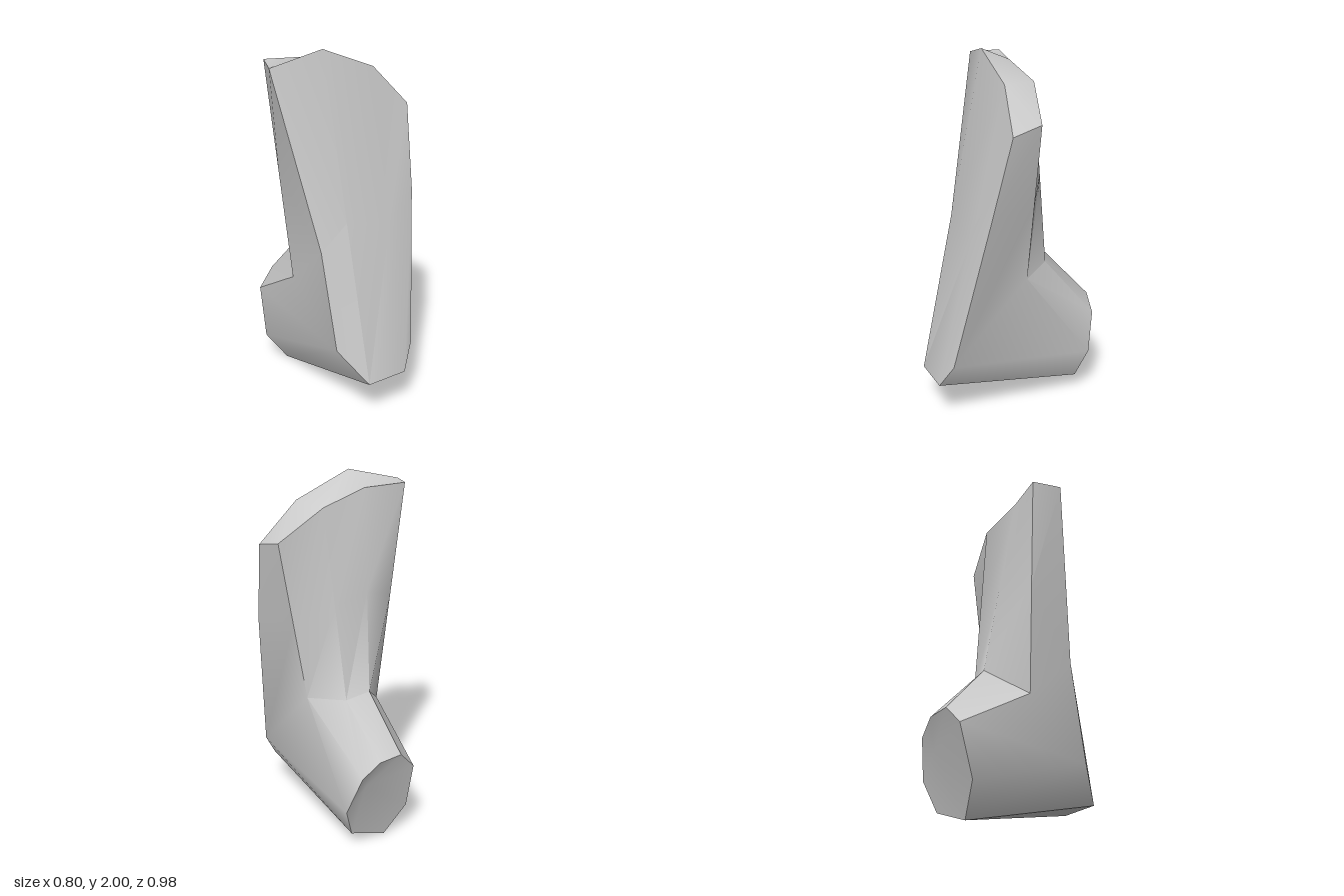
import * as THREE from 'three';
import { toCreasedNormals } from 'three/addons/utils/BufferGeometryUtils.js';

// Eight-sided cross-sections, in matching order, swept from the heel through the bend to the top
const heel = [
  [-0.08, 0, -0.35], [0.15, 0.085, -0.37], [0.215, 0.26, -0.42], [0.15, 0.47, -0.475],
  [0.05, 0.55, -0.49], [-0.09, 0.56, -0.485], [-0.19, 0.455, -0.465], [-0.2, 0.17, -0.39],
];
const bend = [
  [-0.08, 0.22, 0.485], [0.165, 0.22, 0.485], [0.25, 0.36, 0.43], [0.22, 0.79, -0.02],
  [0.08, 0.81, -0.2], [-0.05, 0.845, -0.23], [-0.22, 0.7, -0.05], [-0.195, 0.4, 0.34],
];
const top = [
  [-0.115, 2, 0.095], [0.2, 1.87, 0.105], [0.4, 1.65, 0.15], [0.38, 1.69, -0.02],
  [0.15, 1.86, -0.085], [-0.115, 1.93, -0.065], [-0.34, 1.94, -0.11], [-0.4, 1.93, 0.04],
];
// Halfway section: straight between bend and top, except the two bowed side edges
const middle = bend.map((p, i) => p.map((v, k) => (v + top[i][k]) / 2));
middle[2] = [0.365, 1.2, 0.255];
middle[7] = [-0.22, 0.95, 0.23];

function createShell() {
  const positions = [];
  const tri = (a, b, c) => positions.push(...a, ...b, ...c);
  const quad = (a, b, c, d) => { tri(a, b, c); tri(a, c, d); };
  const n = heel.length;

  // Walls between neighbouring sections
  const sections = [heel, bend, middle, top];
  for (let s = 0; s < sections.length - 1; s++) {
    const lower = sections[s], upper = sections[s + 1];
    for (let i = 0; i < n; i++) {
      const j = (i + 1) % n;
      if (i === 7) quad(lower[j], upper[j], upper[i], lower[i]);
      else quad(lower[i], lower[j], upper[j], upper[i]);
    }
  }

  // Sloping top cap
  for (const q of [[7, 0, 5, 6], [0, 1, 4, 5], [1, 2, 3, 4]]) quad(...q.map((i) => top[i]));

  // Heel cap, notched under its upper rim
  const notch = [0.1, 0.39, -0.43];
  for (let i = 0; i < n; i++) tri(notch, heel[(i + 1) % n], heel[i]);

  const geometry = new THREE.BufferGeometry();
  geometry.setAttribute('position', new THREE.Float32BufferAttribute(positions, 3));
  return toCreasedNormals(geometry, THREE.MathUtils.degToRad(38));
}

export function createModel() {
  const group = new THREE.Group();
  group.name = 'bentBlock';
  const body = new THREE.Mesh(createShell(), new THREE.MeshStandardMaterial({ color: 0xcccccc }));
  body.name = 'shinAndHeel';
  group.add(body);
  return group;
}
